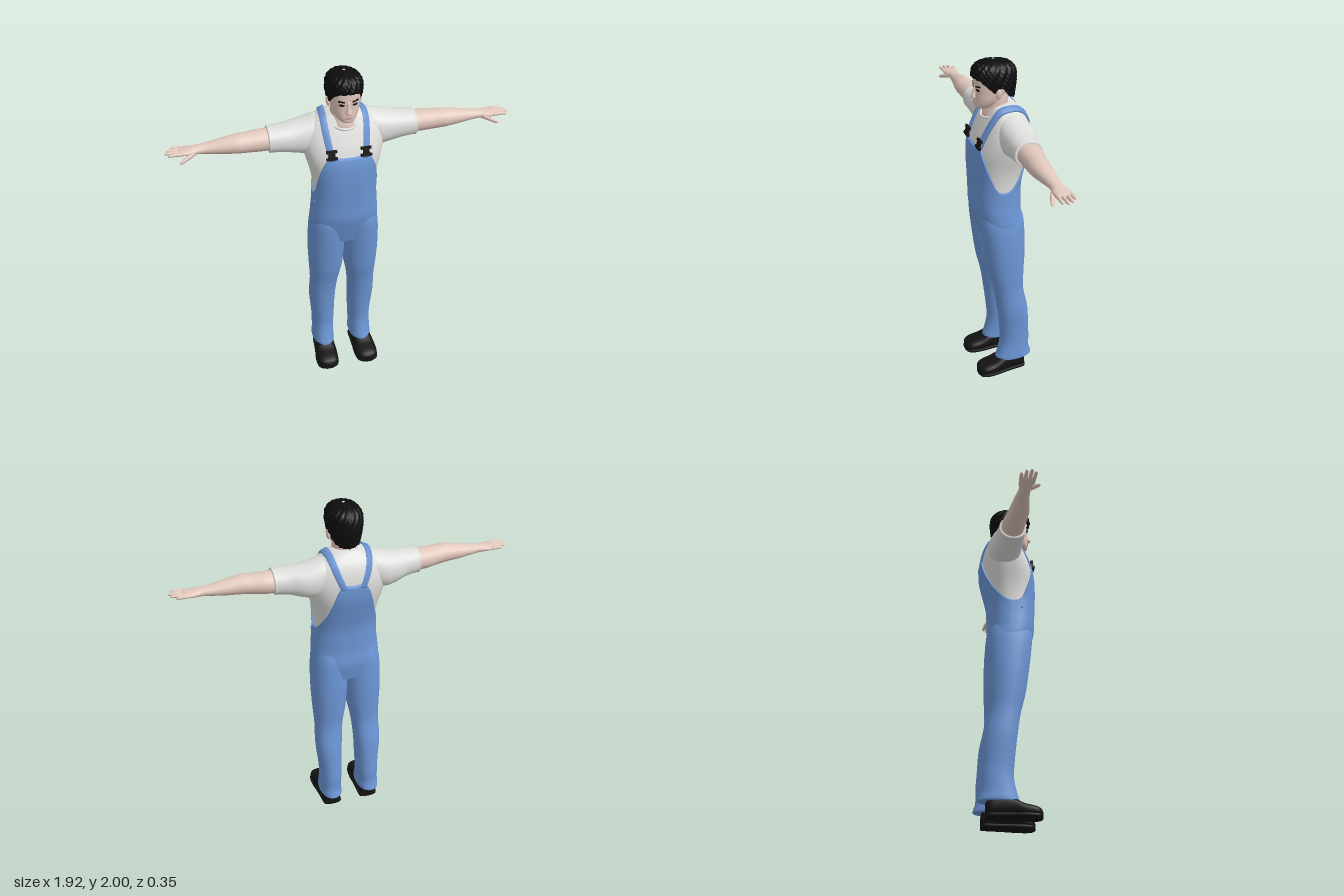
import * as THREE from 'three';

const paint = (name, color) => Object.assign(new THREE.MeshStandardMaterial({ color }), { name });
const sgnPow = (v, n) => Math.sign(v) * Math.pow(Math.abs(v), 2 / n);

// Smooth interpolation of table rows [t, ...values]
function at(rows, t) {
  const last = rows.length - 1;
  let k = 0;
  while (k < last - 1 && t > rows[k + 1][0]) k++;
  const a = rows[k], b = rows[k + 1], p = rows[Math.max(k - 1, 0)], q = rows[Math.min(k + 2, last)];
  const h = b[0] - a[0], s = THREE.MathUtils.clamp((t - a[0]) / h, 0, 1);
  return a.slice(1).map((va, i) => {
    const vb = b[i + 1];
    const ma = (vb - p[i + 1]) / (b[0] - p[0]) * h, mb = (q[i + 1] - va) / (q[0] - a[0]) * h;
    const s2 = s * s, s3 = s2 * s;
    return (2 * s3 - 3 * s2 + 1) * va + (s3 - 2 * s2 + s) * ma + (3 * s2 - 2 * s3) * vb + (s3 - s2) * mb;
  });
}

// Skin of closed rings: f(i, j) gives corner i of ring j
function rings(nu, nv, f, caps = true) {
  const pos = [], idx = [];
  for (let j = 0; j < nv; j++) for (let i = 0; i < nu; i++) pos.push(...f(i, j));
  for (let j = 0; j < nv - 1; j++) for (let i = 0; i < nu; i++) {
    const a = j * nu + i, b = j * nu + (i + 1) % nu;
    idx.push(a, a + nu, b, b, a + nu, b + nu);
  }
  if (caps) for (const j of [0, nv - 1]) {
    const c = pos.length / 3, mid = [0, 0, 0];
    for (let i = 0; i < nu; i++) for (let k = 0; k < 3; k++) mid[k] += pos[(j * nu + i) * 3 + k] / nu;
    pos.push(...mid);
    for (let i = 0; i < nu; i++) {
      const a = j * nu + i, b = j * nu + (i + 1) % nu;
      idx.push(...(j ? [c, b, a] : [c, a, b]));
    }
  }
  const g = new THREE.BufferGeometry();
  g.setAttribute('position', new THREE.Float32BufferAttribute(pos, 3));
  g.setIndex(idx);
  g.computeVertexNormals();
  return g;
}

// Loft along an axis through rows [t, centreU, centreV, radiusU, radiusV]
function loft(axis, rows, { n = 2, nu = 32, sub = 4 } = {}) {
  const ts = [];
  rows.forEach((r, k) => {
    if (k) for (let s = 1; s <= sub; s++) ts.push(rows[k - 1][0] + (r[0] - rows[k - 1][0]) * s / sub);
    else ts.push(r[0]);
  });
  return rings(nu, ts.length, (i, j) => {
    const a = i / nu * Math.PI * 2, c = sgnPow(Math.cos(a), n), s = sgnPow(Math.sin(a), n);
    const [cu, cv, ru, rv] = at(rows, ts[j]);
    if (axis === 'y') return [cu + ru * c, ts[j], cv + rv * s];
    if (axis === 'x') return [ts[j], cu + ru * s, cv + rv * c];
    return [cu + ru * s, cv + rv * c, ts[j]];
  });
}

// Shell over a y loft, trimmed between lo and hi (functions of degrees from the front)
function shell(rows, lo, hi, off, n, nu, nv, lip, rough = () => 0) {
  return rings(nu, nv + 1, (i, j) => {
    const a = i / nu * Math.PI * 2, deg = Math.acos(THREE.MathUtils.clamp(Math.sin(a), -1, 1)) * 180 / Math.PI;
    const edge = lip === 'top' ? j === nv : j === 0;
    const k = lip === 'top' ? Math.min(j, nv - 1) : Math.max(j - 1, 0);
    const y = THREE.MathUtils.lerp(lo(deg), hi(deg), k / (nv - 1));
    const [cx, cz, rx, rz] = at(rows, y), o = edge ? -0.012 : off + rough(a, y);
    return [cx + (rx + o) * sgnPow(Math.cos(a), n), y, cz + (rz + o) * sgnPow(Math.sin(a), n)];
  }, false);
}

function mirrored(geo) {
  const g = geo.clone().scale(-1, 1, 1), ix = g.index.array;
  for (let i = 0; i < ix.length; i += 3) [ix[i], ix[i + 1]] = [ix[i + 1], ix[i]];
  return g;
}

// Outermost point of some meshes along a ray
function hit(meshes, from, to) {
  const o = new THREE.Vector3(...from), d = new THREE.Vector3(...to).sub(o).normalize();
  const found = new THREE.Raycaster(o, d).intersectObjects(meshes, false)[0];
  return (found ? found.point : new THREE.Vector3(...to)).clone();
}

export function createModel() {
  const model = new THREE.Group();
  model.name = 'workman';
  const denim = paint('denim', 0x6c96d6), cotton = paint('shirt cotton', 0xdededc), skin = paint('skin', 0xe2c8bc);
  const black = paint('hair black', 0x0d0d0d), leather = paint('shoe leather', 0x131313);
  const dark = paint('eye and buckle', 0x17130f), lip = paint('lips', 0xba8f84);
  const add = (name, geo, mat) => {
    const m = new THREE.Mesh(geo, mat);
    m.name = name;
    model.add(m);
    return m;
  };
  const pair = (name, geo, mat) => [add('left' + name, geo, mat), add('right' + name, mirrored(geo), mat)];

  // Shirt
  const body = [
    [0.95, 0, 0.005, 0.165, 0.1], [1.05, 0, 0.012, 0.188, 0.122], [1.13, 0, 0.025, 0.185, 0.128],
    [1.2, 0, 0.027, 0.178, 0.13], [1.3, 0, 0.027, 0.175, 0.134], [1.4, 0, 0.018, 0.187, 0.146],
    [1.5, 0, 0.003, 0.213, 0.154], [1.58, 0, -0.012, 0.23, 0.143], [1.65, 0, -0.022, 0.222, 0.122],
    [1.7, 0, -0.025, 0.185, 0.1], [1.735, 0, -0.02, 0.13, 0.078], [1.76, 0, -0.015, 0.07, 0.058]];
  const shirt = [add('shirt', loft('y', body.slice(2), { n: 2.4, nu: 64 }), cotton)];
  shirt.push(...pair('Sleeve', loft('x', [
    [0.08, 1.64, -0.03, 0.08, 0.07], [0.14, 1.63, -0.032, 0.098, 0.09], [0.2, 1.612, -0.032, 0.102, 0.098],
    [0.27, 1.612, -0.028, 0.088, 0.092], [0.33, 1.617, -0.018, 0.076, 0.083], [0.4, 1.62, -0.013, 0.07, 0.077],
    [0.412, 1.62, -0.013, 0.069, 0.076], [0.413, 1.62, -0.013, 0.055, 0.06]], { n: 2.2, nu: 40 }), cotton));
  const collar = new THREE.TorusGeometry(0.082, 0.007, 8, 40).scale(1, 1.1, 1).rotateX(Math.PI / 2 + 0.4);
  add('collar', collar.translate(0, 1.717, 0.014), cotton);

  // Overalls: seat and bib, then legs
  const bibTop = [[0, 1.535], [26, 1.535], [31, 1.515], [42, 1.465], [60, 1.375], [74, 1.305], [88, 1.278],
    [108, 1.295], [135, 1.38], [152, 1.48], [164, 1.575], [170, 1.6], [180, 1.595]];
  add('bibOveralls', shell(body, () => 0.95, d => at(bibTop, d)[0], 0.009, 2.4, 96, 40, 'top'), denim);
  pair('TrouserLeg', loft('y', [
    [0.085, 0.12, -0.054, 0.062, 0.108], [0.09, 0.12, -0.054, 0.068, 0.115], [0.14, 0.12, -0.054, 0.066, 0.1],
    [0.22, 0.118, -0.062, 0.067, 0.092], [0.3, 0.118, -0.058, 0.07, 0.091], [0.45, 0.122, -0.045, 0.079, 0.093],
    [0.6, 0.114, -0.02, 0.084, 0.09], [0.72, 0.106, -0.007, 0.098, 0.106], [0.85, 0.103, 0, 0.106, 0.118],
    [1, 0.1, 0.01, 0.105, 0.126], [1.08, 0.095, 0.016, 0.1, 0.126], [1.15, 0.09, 0.02, 0.085, 0.11]], { n: 2.2 }), denim);
  for (const y of [1.17, 1.235])
    pair('SideButton', new THREE.SphereGeometry(0.008, 10, 8).translate(0.178, y, 0.07), denim);

  // Shoulder straps laid over the shirt
  const strapX = [[0, 0.092], [0.25, 0.106], [0.5, 0.116], [0.75, 0.1], [1, 0.052]];
  const strapRows = 40, half = 0.017;
  pair('Strap', rings(4, strapRows, (i, j) => {
    const s = j / (strapRows - 1), phi = THREE.MathUtils.degToRad(10 + 144 * s);
    const x = at(strapX, s)[0] + (i === 0 || i === 3 ? half : -half), out = i < 2 ? 0.013 : -0.006;
    const p = hit(shirt, [x, 1.5 + Math.sin(phi) * 0.6, Math.cos(phi) * 0.6], [x, 1.5, 0]);
    return [x, p.y + Math.sin(phi) * out, p.z + Math.cos(phi) * out];
  }), denim);

  // Buckles
  const buckle = hit(shirt, [0.095, 1.563, 1], [0.095, 1.563, 0]);
  for (const [part, w, h, y] of [['Top', 0.058, 0.014, 0.02], ['Middle', 0.034, 0.034, 0], ['Bottom', 0.062, 0.014, -0.02]])
    pair('Buckle' + part, new THREE.BoxGeometry(w, h, 0.014).translate(0, y, 0).rotateX(-0.25)
      .translate(0.095, buckle.y, buckle.z + 0.018), dark);

  // Arms, hands and fingers
  pair('Arm', loft('x', [
    [0.38, 1.62, -0.013, 0.058, 0.064], [0.45, 1.62, -0.014, 0.06, 0.066], [0.52, 1.622, -0.006, 0.055, 0.06],
    [0.58, 1.625, 0, 0.052, 0.057], [0.66, 1.622, -0.002, 0.042, 0.047], [0.74, 1.62, -0.003, 0.029, 0.036],
    [0.79, 1.62, -0.001, 0.023, 0.033], [0.825, 1.62, 0, 0.02, 0.041], [0.86, 1.62, 0, 0.016, 0.044],
    [0.885, 1.621, 0, 0.011, 0.041], [0.89, 1.621, 0, 0.004, 0.03]]), skin);
  const fingers = [['Little', -0.034, 0.925], ['Ring', -0.012, 0.95], ['Middle', 0.011, 0.96], ['Index', 0.033, 0.943]];
  for (const [name, z, tip] of fingers)
    pair(name + 'Finger', loft('x', [
      [0.86, 1.621, z, 0.01, 0.011], [0.91, 1.623, z * 1.08, 0.0095, 0.01],
      [tip - 0.008, 1.622, z * 1.12, 0.0075, 0.008], [tip, 1.621, z * 1.12, 0.003, 0.003]], { nu: 12 }), skin);
  pair('Thumb', loft('x', [
    [0.8, 1.615, 0.022, 0.014, 0.014], [0.84, 1.602, 0.044, 0.013, 0.013],
    [0.875, 1.588, 0.058, 0.01, 0.01], [0.888, 1.584, 0.062, 0.003, 0.003]], { nu: 12 }), skin);

  // Neck and head
  add('neck', loft('y', [[1.64, 0, 0.02, 0.07, 0.06], [1.69, 0, 0.02, 0.075, 0.07],
    [1.74, 0, 0.012, 0.072, 0.063], [1.84, 0, 0.01, 0.068, 0.062]]), skin);
  const head = add('head', loft('y', [
    [1.733, 0, 0.095, 0.02, 0.022], [1.74, 0, 0.088, 0.036, 0.044], [1.76, 0, 0.072, 0.055, 0.064],
    [1.79, 0, 0.055, 0.07, 0.081], [1.83, 0, 0.04, 0.079, 0.095], [1.87, 0, 0.035, 0.083, 0.101],
    [1.92, 0, 0.03, 0.083, 0.102], [1.96, 0, 0.025, 0.068, 0.085], [1.982, 0, 0.025, 0.03, 0.04]], { n: 2.25, nu: 40 }), skin);
  add('nose', loft('y', [[1.788, 0, 0.134, 0.009, 0.008], [1.799, 0, 0.139, 0.018, 0.018],
    [1.83, 0, 0.134, 0.011, 0.014], [1.866, 0, 0.13, 0.008, 0.008]], { nu: 16 }), skin);
  pair('Ear', new THREE.SphereGeometry(1, 16, 12).scale(0.01, 0.03, 0.018).rotateZ(-0.15).translate(0.087, 1.828, 0.028), skin);
  const face = (x, y) => hit([head], [x, y, 1], [x, y, 0]).z;
  pair('Eye', new THREE.SphereGeometry(1, 16, 10).scale(0.016, 0.007, 0.004).rotateY(0.3)
    .translate(0.035, 1.846, face(0.035, 1.846)), dark);
  pair('Eyebrow', new THREE.BoxGeometry(0.036, 0.007, 0.007).rotateZ(0.12).rotateY(0.35)
    .translate(0.037, 1.866, face(0.037, 1.866)), black);
  add('mouth', new THREE.SphereGeometry(1, 16, 10).scale(0.022, 0.006, 0.005).translate(0, 1.771, face(0, 1.771)), lip);

  // Hair with shallow tufts
  const hairRows = [[1.77, 0, -0.008, 0.068, 0.072], [1.84, 0, 0.015, 0.086, 0.105], [1.9, 0, 0.025, 0.095, 0.12],
    [1.95, 0, 0.028, 0.09, 0.114], [1.98, 0, 0.03, 0.066, 0.086], [1.994, 0, 0.03, 0.035, 0.045], [2, 0, 0.03, 0.008, 0.008]];
  const hairline = [[0, 1.912], [30, 1.907], [45, 1.892], [58, 1.865], [72, 1.835], [82, 1.845], [95, 1.86],
    [112, 1.82], [135, 1.79], [180, 1.78]];
  const tuft = (a, y) => y > 1.985 ? 0 : 0.003 + 0.003 * Math.sin(a * 17 + y * 90) + 0.002 * Math.sin(a * 29 - y * 210);
  add('hair', shell(hairRows, d => at(hairline, d)[0], () => 2, 0, 2.1, 120, 30, 'bottom', tuft), black);

  // Shoes and soles
  const shoe = [
    [-0.122, 0.118, 0.045, 0.03, 0.035], [-0.112, 0.118, 0.056, 0.05, 0.052], [-0.05, 0.12, 0.064, 0.056, 0.06],
    [0.02, 0.123, 0.058, 0.061, 0.054], [0.08, 0.126, 0.043, 0.067, 0.039], [0.14, 0.128, 0.036, 0.064, 0.032],
    [0.17, 0.128, 0.03, 0.048, 0.025], [0.182, 0.128, 0.024, 0.02, 0.014]];
  pair('Shoe', loft('z', shoe, { n: 2.5 }), leather);
  pair('Sole', loft('z', shoe.map(([z, x, , rx]) => [z, x, 0.011, rx + 0.004, 0.011]), { n: 5 }), leather);
  return model;
}
